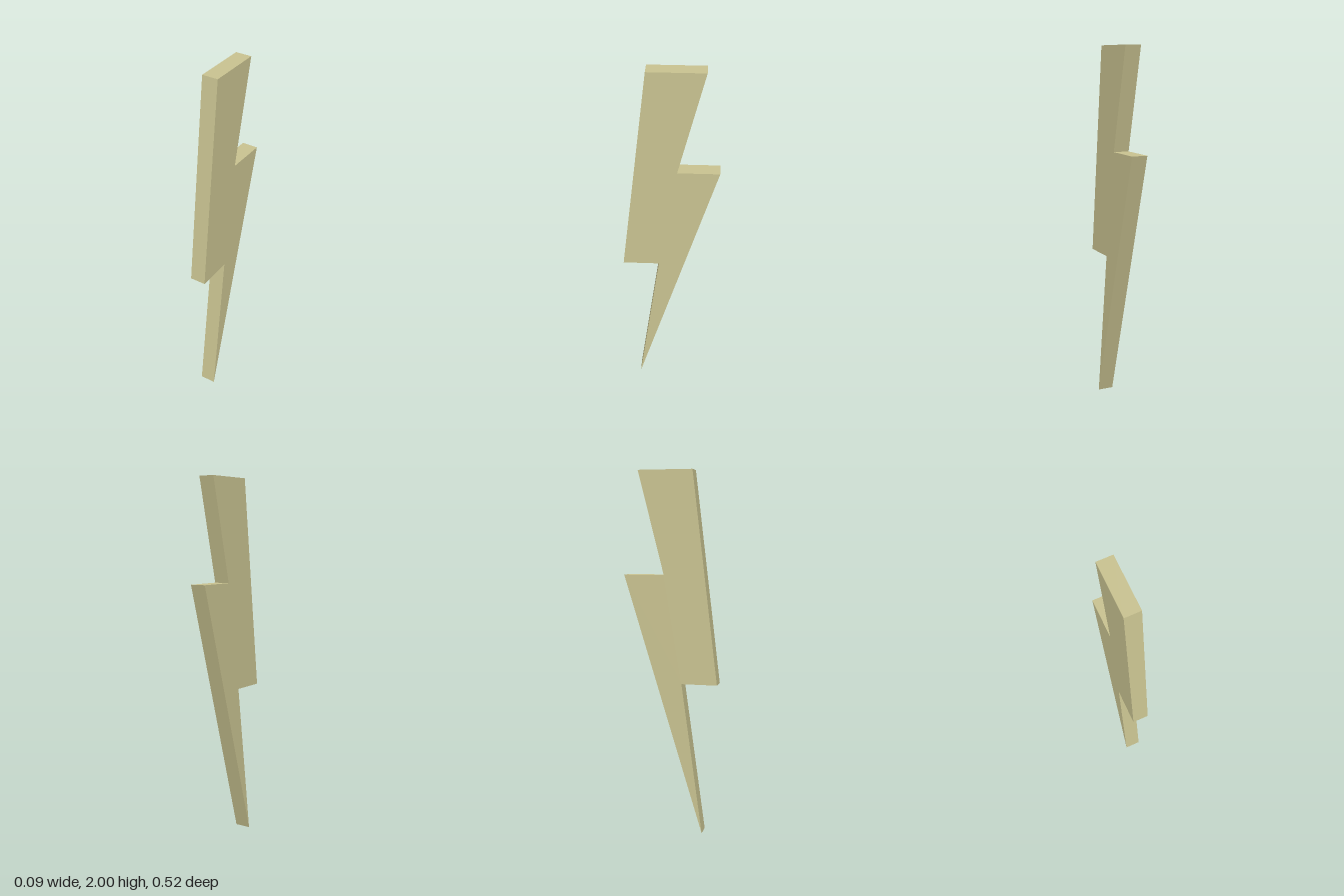
import * as THREE from 'three';

export function createModel() {
  const group = new THREE.Group();
  group.name = 'lightningBolt';

  const khaki = new THREE.MeshStandardMaterial({ color: 0xc8c290 });
  khaki.name = 'khaki';

  // Zigzag outline as [z, y], starting from the bottom tip
  const outline = [
    [0.18, 0], [-0.26, 1.44], [-0.037, 1.44], [-0.18, 2],
    [0.12, 2], [0.26, 0.845], [0.062, 0.845],
  ];
  const shape = new THREE.Shape(outline.map(([z, y]) => new THREE.Vector2(-z, y)));

  // Flat slab, turned so its thickness runs along x
  const thickness = 0.088;
  const geometry = new THREE.ExtrudeGeometry(shape, { depth: thickness, bevelEnabled: false });
  geometry.translate(0, 0, -thickness / 2);
  geometry.rotateY(Math.PI / 2);

  const bolt = new THREE.Mesh(geometry, khaki);
  bolt.name = 'bolt';
  group.add(bolt);
  return group;
}
